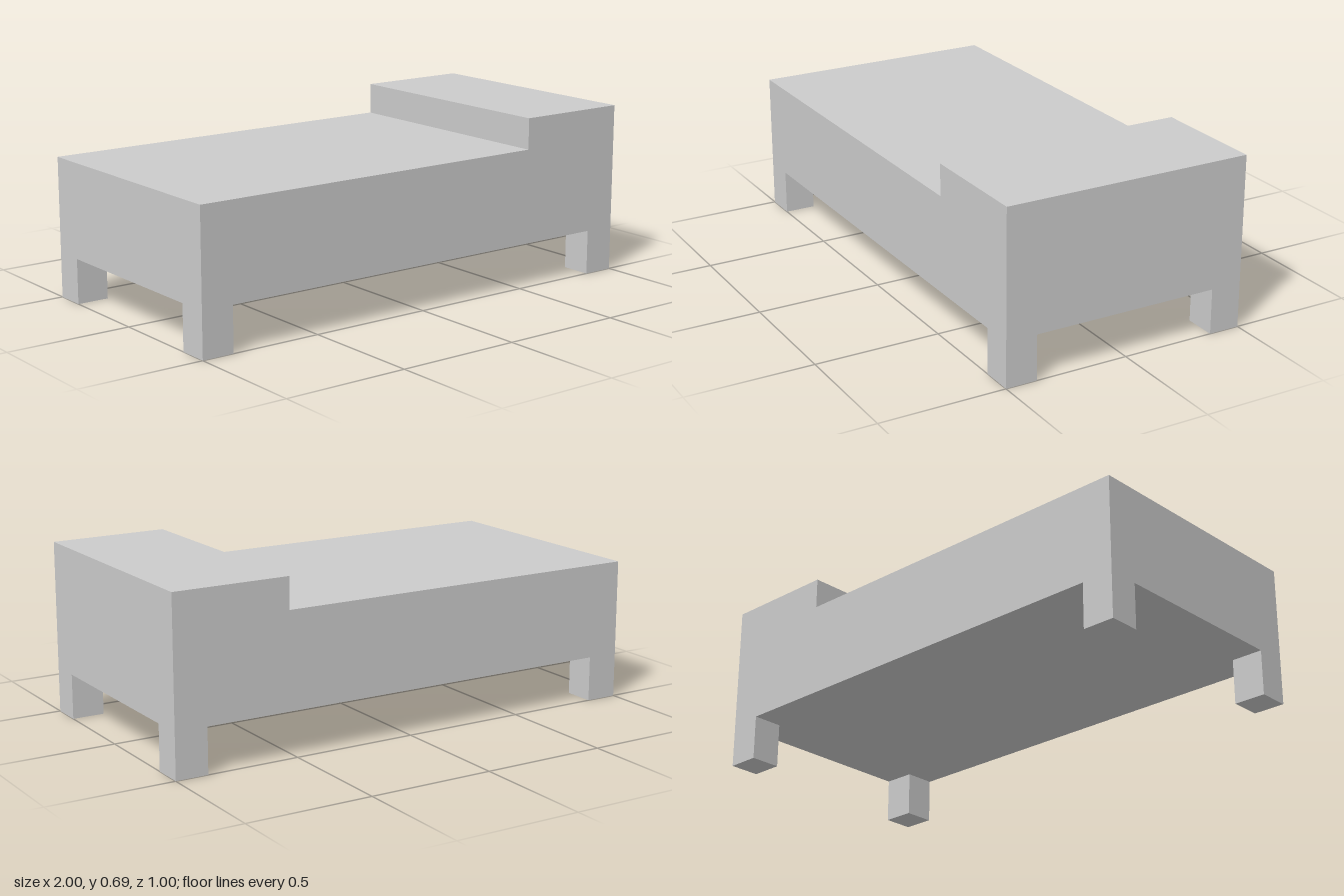
import * as THREE from 'three';

const LENGTH = 2, DEPTH = 1;
const LEG_H = 0.18, MATTRESS_Y = 0.56, PILLOW_Y = 0.685, PILLOW_X = 0.53;
const LEG_W = 0.13, LEG_D = 0.125;

export function createModel() {
  const bed = new THREE.Group();
  bed.name = 'bed';
  const material = new THREE.MeshStandardMaterial({ color: 0xcccccc, flatShading: true });

  const add = (name, geometry, x, y, z) => {
    const mesh = new THREE.Mesh(geometry, material);
    mesh.name = name;
    mesh.position.set(x, y, z);
    bed.add(mesh);
  };

  // Mattress block with the raised pillow end, as one stepped side profile
  const hx = LENGTH / 2;
  const profile = new THREE.Shape([
    [-hx, LEG_H], [hx, LEG_H], [hx, PILLOW_Y],
    [PILLOW_X, PILLOW_Y], [PILLOW_X, MATTRESS_Y], [-hx, MATTRESS_Y],
  ].map(([x, y]) => new THREE.Vector2(x, y)));
  add('mattressAndPillow',
    new THREE.ExtrudeGeometry(profile, { depth: DEPTH, bevelEnabled: false }), 0, 0, -DEPTH / 2);

  // Four corner legs, flush with the outer faces
  const leg = new THREE.BoxGeometry(LEG_W, LEG_H, LEG_D);
  for (const sx of [-1, 1]) {
    for (const sz of [-1, 1]) {
      add((sz > 0 ? 'front' : 'back') + (sx > 0 ? 'Left' : 'Right') + 'Leg', leg,
        sx * (LENGTH - LEG_W) / 2, LEG_H / 2, sz * (DEPTH - LEG_D) / 2);
    }
  }
  return bed;
}
